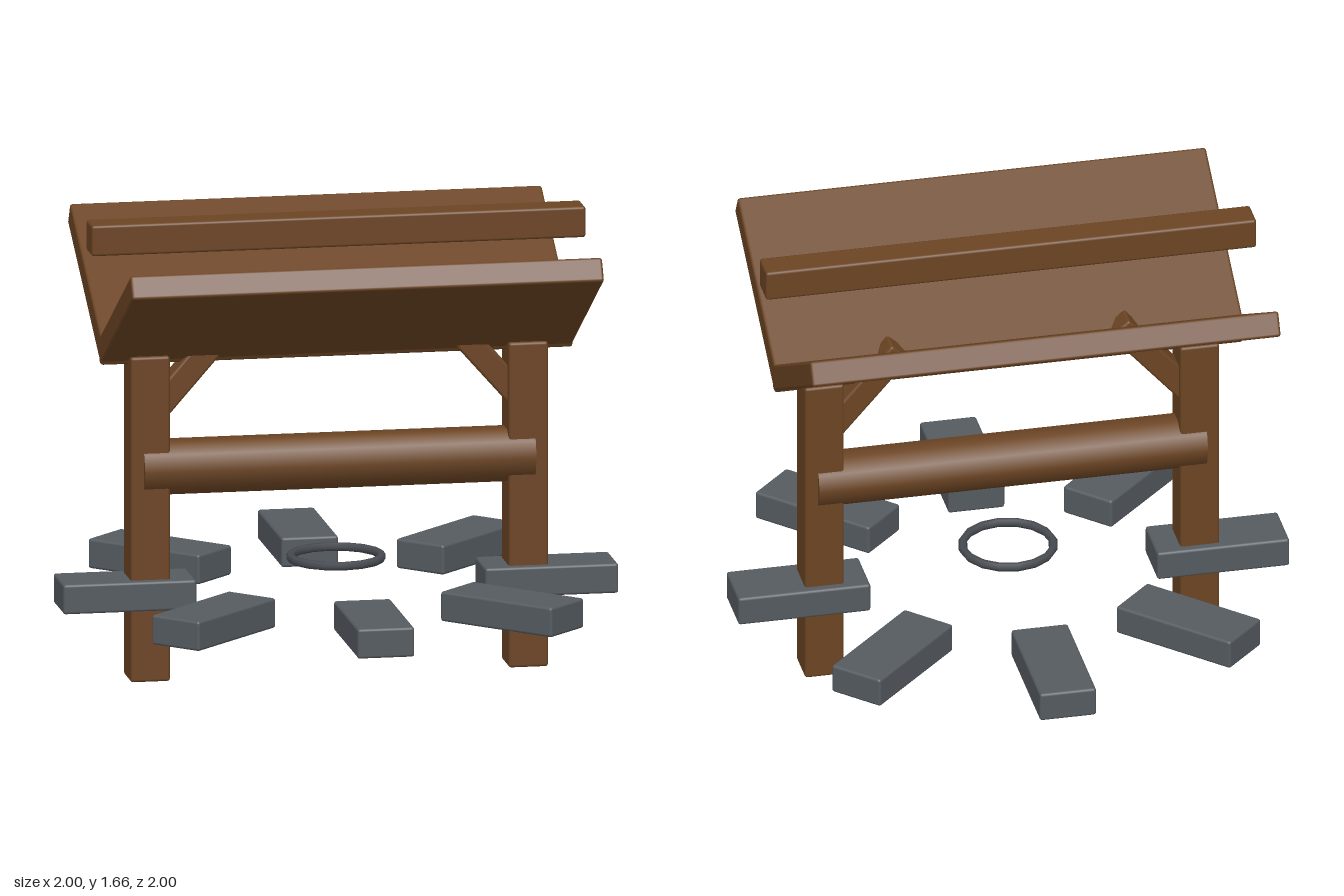
import * as THREE from 'three';
import { RoundedBoxGeometry } from 'three/addons/geometries/RoundedBoxGeometry.js';

export function createModel() {
  const model = new THREE.Group();
  model.name = 'well';

  const material = (name, color) => {
    const m = new THREE.MeshStandardMaterial({ color });
    m.name = name;
    return m;
  };
  const wood = material('wood', 0x6b4423);
  const stone = material('stone', 0x555b60);
  const iron = material('iron', 0x484c52);

  const add = (name, geometry, mat, x, y, z) => {
    const mesh = new THREE.Mesh(geometry, mat);
    mesh.name = name;
    mesh.position.set(x, y, z);
    model.add(mesh);
    return mesh;
  };
  const block = (w, h, d) => new RoundedBoxGeometry(w, h, d, 2, 0.01);

  // Ring of radial stone blocks
  const stoneGeometry = block(0.48, 0.108, 0.205);
  for (let i = 0; i < 8; i++) {
    const a = (i * Math.PI) / 4;
    const s = add('stoneBlock', stoneGeometry, stone, Math.cos(a) * 0.76, 0.317, Math.sin(a) * 0.76);
    s.rotation.y = -a;
  }

  // Posts and diagonal braces, mirrored left and right
  const postGeometry = block(0.142, 1.18, 0.145);
  const braceGeometry = block(0.09, 0.4, 0.09);
  for (const side of [1, -1]) {
    add('post', postGeometry, wood, side * 0.681, 0.59, 0);
    const brace = add('brace', braceGeometry, wood, side * 0.528, 1.12, 0);
    brace.rotation.z = side * 0.72;
  }

  // Ten-sided winding log
  const log = add('windingLog', new THREE.CylinderGeometry(0.1, 0.1, 1.41, 10), wood, 0, 0.765, 0);
  log.rotation.z = Math.PI / 2;

  // Two roof panels sloping down to the middle
  const panelGeometry = block(1.7, 0.09, 0.76);
  for (const side of [1, -1]) {
    const panel = add('roofPanel', panelGeometry, wood, 0, 1.37, side * 0.296);
    panel.rotation.x = -side * Math.PI / 6;
  }

  // Floating ridge beam
  add('ridgeBeam', block(1.78, 0.112, 0.114), wood, 0, 1.605, 0);

  // Small ring over the shaft
  const ring = add('ring', new THREE.TorusGeometry(0.163, 0.016, 6, 16), iron, 0, 0.414, 0);
  ring.rotation.x = Math.PI / 2;

  return model;
}
